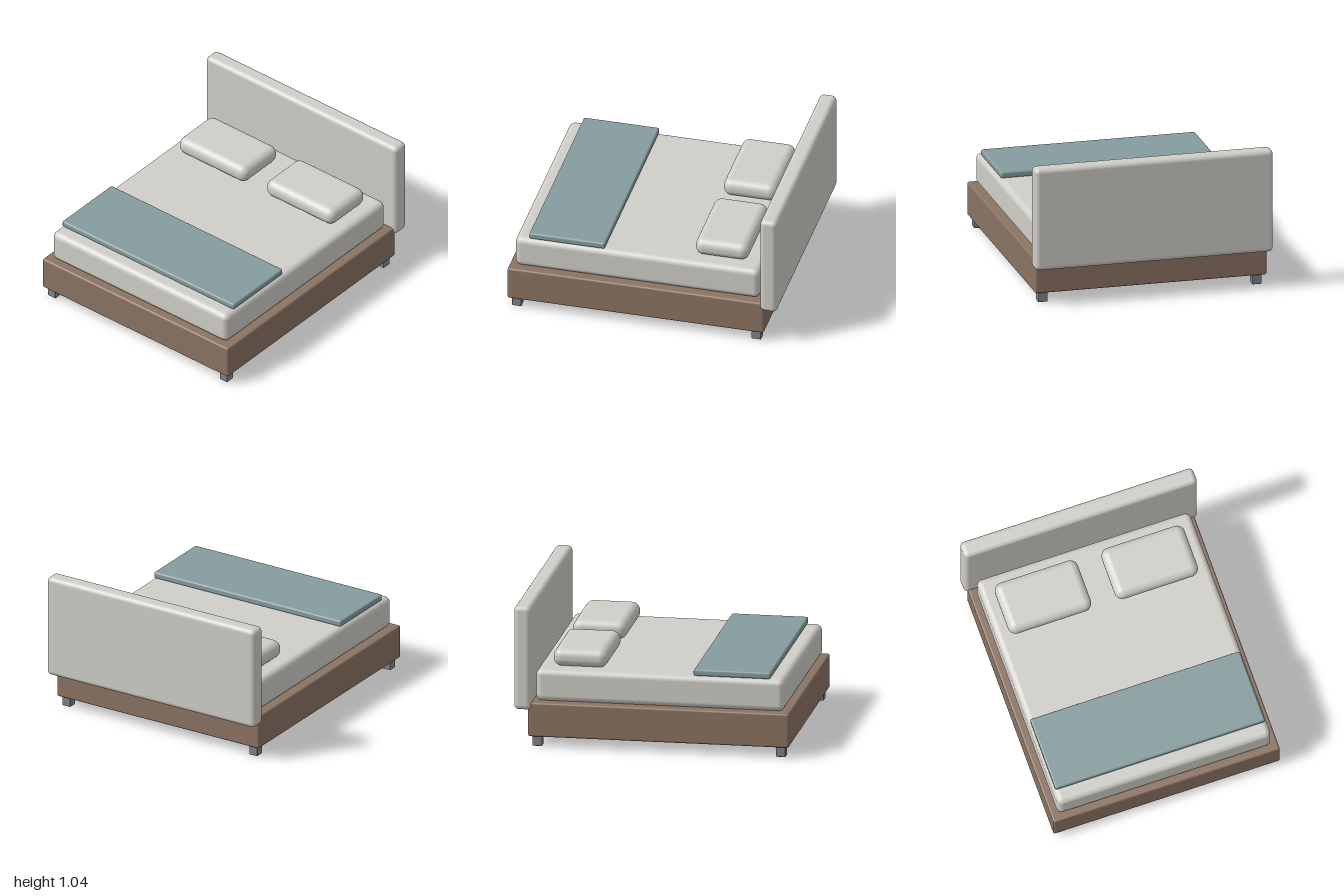
import * as THREE from 'three';
import { RoundedBoxGeometry } from 'three/addons/geometries/RoundedBoxGeometry.js';

const mat = (name, color) => {
  const m = new THREE.MeshStandardMaterial({ color });
  m.name = name;
  return m;
};

export function createModel() {
  const bed = new THREE.Group();
  bed.name = 'bed';

  const linen = mat('linen', 0xd0cec8);
  const wood = mat('wood', 0x8b7362);
  const teal = mat('teal', 0x869c9f);
  const metal = mat('metal', 0x7e838a);

  // Rounded block given by its extents on each axis
  const block = (name, material, [x0, x1], [y0, y1], [z0, z1], radius, segments = 4) => {
    const geometry = new RoundedBoxGeometry(x1 - x0, y1 - y0, z1 - z0, segments, radius);
    const mesh = new THREE.Mesh(geometry, material);
    mesh.name = name;
    mesh.position.set((x0 + x1) / 2, (y0 + y1) / 2, (z0 + z1) / 2);
    bed.add(mesh);
  };

  // Frame, mattress and headboard
  block('frame', wood, [-0.86, 0.86], [0.075, 0.327], [-0.9, 1], 0.015);
  block('mattress', linen, [-0.812, 0.812], [0.327, 0.563], [-0.853, 0.957], 0.045);
  block('headboard', linen, [-0.885, 0.885], [0.275, 1.043], [-1, -0.876], 0.035);

  // Folded blanket across the foot end
  block('blanket', teal, [-0.796, 0.796], [0.563, 0.611], [0.295, 0.855], 0.014);

  // Pillows
  block('leftPillow', linen, [0.09, 0.72], [0.563, 0.696], [-0.745, -0.35], 0.06, 6);
  block('rightPillow', linen, [-0.72, -0.09], [0.563, 0.696], [-0.745, -0.35], 0.06, 6);

  // Feet, one near each corner of the frame
  for (const [side, x] of [['left', 0.796], ['right', -0.796]]) {
    for (const [end, z] of [['Front', 0.937], ['Back', -0.837]]) {
      block(side + end + 'Foot', metal, [x - 0.035, x + 0.035], [0, 0.08], [z - 0.035, z + 0.035], 0.005, 2);
    }
  }

  return bed;
}
